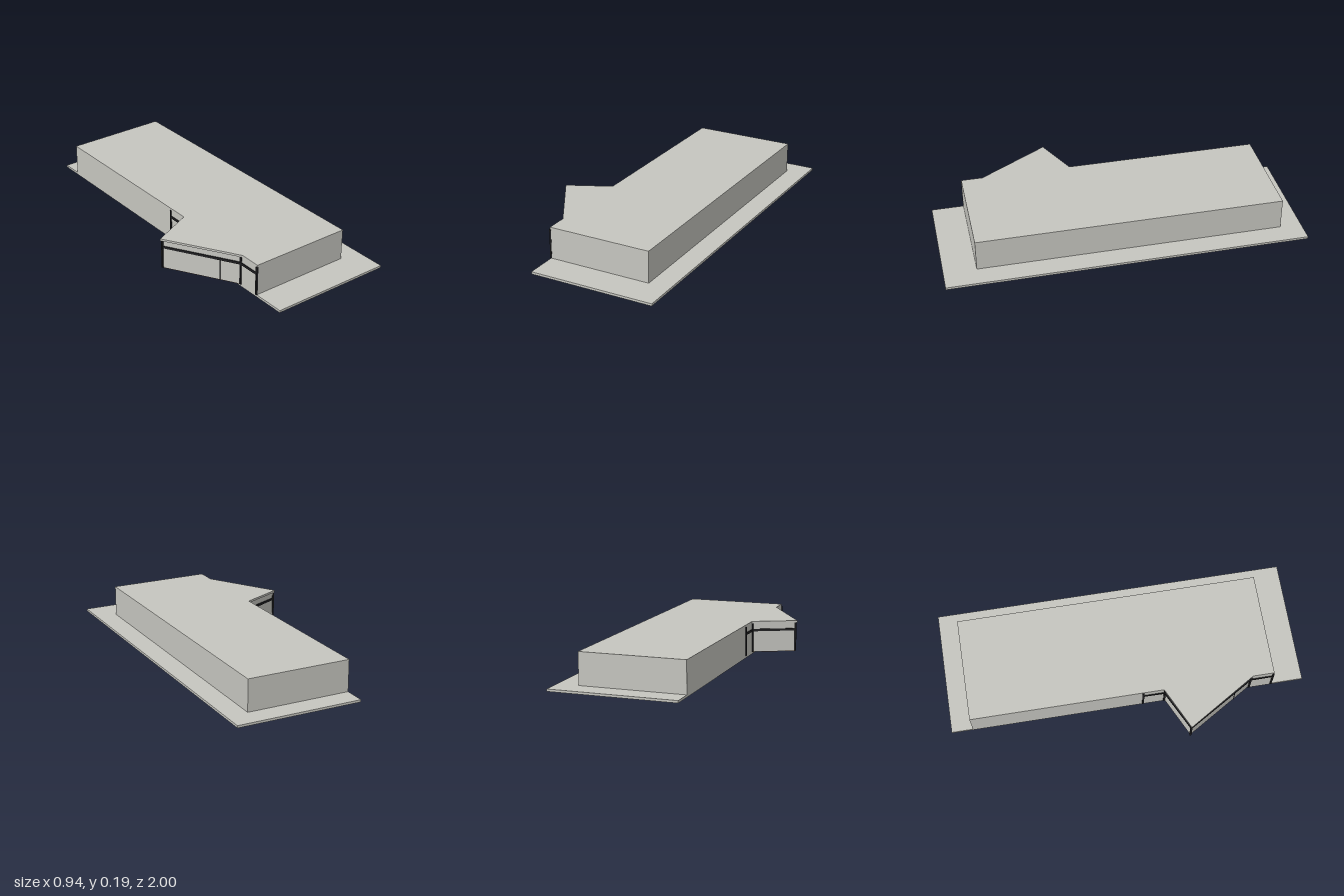
import * as THREE from 'three';

const mat = (name, color) => {
  const m = new THREE.MeshStandardMaterial({ color });
  m.name = name;
  return m;
};

export function createModel() {
  const model = new THREE.Group();
  model.name = 'pavilion';
  const concrete = mat('concrete', 0xc6c6c0);
  const black = mat('blackFrame', 0x202022);
  const wood = mat('brownFloor', 0x7a5238);
  const pale = mat('paleFooting', 0xececE6);

  const add = (name, geometry, material) => {
    const mesh = new THREE.Mesh(geometry, material);
    mesh.name = name;
    model.add(mesh);
    return mesh;
  };
  // Box given by its limits on each axis
  const box = (name, x0, x1, y0, y1, z0, z1, material) =>
    add(name, new THREE.BoxGeometry(x1 - x0, y1 - y0, z1 - z0), material)
      .position.set((x0 + x1) / 2, (y0 + y1) / 2, (z0 + z1) / 2);
  // Upright prism over a plan outline of [x, z] points
  const prism = (name, plan, y0, y1, material) => {
    const shape = new THREE.Shape(plan.map(([x, z]) => new THREE.Vector2(x, -z)));
    const g = new THREE.ExtrudeGeometry(shape, { depth: y1 - y0, bevelEnabled: false });
    g.rotateX(-Math.PI / 2).translate(0, y0, 0);
    add(name, g, material);
  };
  // Straight bar between two plan points
  const bar = (name, [ax, az], [bx, bz], y0, y1, width, material) => {
    const g = new THREE.BoxGeometry(Math.hypot(bx - ax, bz - az), y1 - y0, width);
    const mesh = add(name, g, material);
    mesh.position.set((ax + bx) / 2, (y0 + y1) / 2, (az + bz) / 2);
    mesh.rotation.y = -Math.atan2(bz - az, bx - ax);
  };

  const wallX = -0.235, ground = 0.013, eave = 0.178, top = 0.19;

  // Base slab and main block
  box('slab', wallX, 0.47, 0, ground, -1, 1, concrete);
  box('walls', wallX, 0.35, ground, eave, -0.88, 0.82, concrete);

  // Roof with the pointed bay
  prism('roof', [
    [wallX, -0.88], [0.35, -0.88], [0.35, 0.82], [wallX, 0.82],
    [wallX, 0.7], [-0.472, 0.312], [wallX, 0.2],
  ], eave, top, concrete);

  // Bay walls and floor, set in slightly from the roof edge
  const back = [wallX, 0.207], tip = [-0.46, 0.314], front = [wallX, 0.687];
  prism('bayWalls', [back, tip, front], ground, eave, concrete);
  prism('bayFloor', [back, tip, front], 0.011, ground, wood);

  // Window frames: posts and transoms following the bay
  const line = [[wallX, 0.084], [wallX - 0.001, 0.204], tip, [wallX - 0.001, 0.69], [wallX, 0.816]];
  line.forEach(([x, z]) =>
    box('windowPost', x - 0.005, x + 0.005, ground, eave, z - 0.005, z + 0.005, black));
  for (let i = 0; i < 4; i++) bar('transom', line[i], line[i + 1], 0.132, 0.145, 0.008, black);
  // Slim door joint on the long side of the bay
  const t = (-0.293 - tip[0]) / (front[0] - tip[0]);
  const jz = tip[1] + t * (front[1] - tip[1]);
  box('doorJoint', -0.2955, -0.2925, ground, 0.132, jz - 0.002, jz + 0.002, black);

  // Footing strips on the underside of the slab
  const strip = (x0, x1, z0, z1) => box('footing', x0, x1, -0.0005, 0.002, z0, z1, pale);
  strip(0.342, 0.35, -0.88, -0.19);
  strip(0.342, 0.35, 0.05, 0.81);
  for (const z of [-0.88, -0.54, -0.36, -0.19, 0.8]) strip(0.08, 0.342, z, z + 0.007);

  return model;
}
